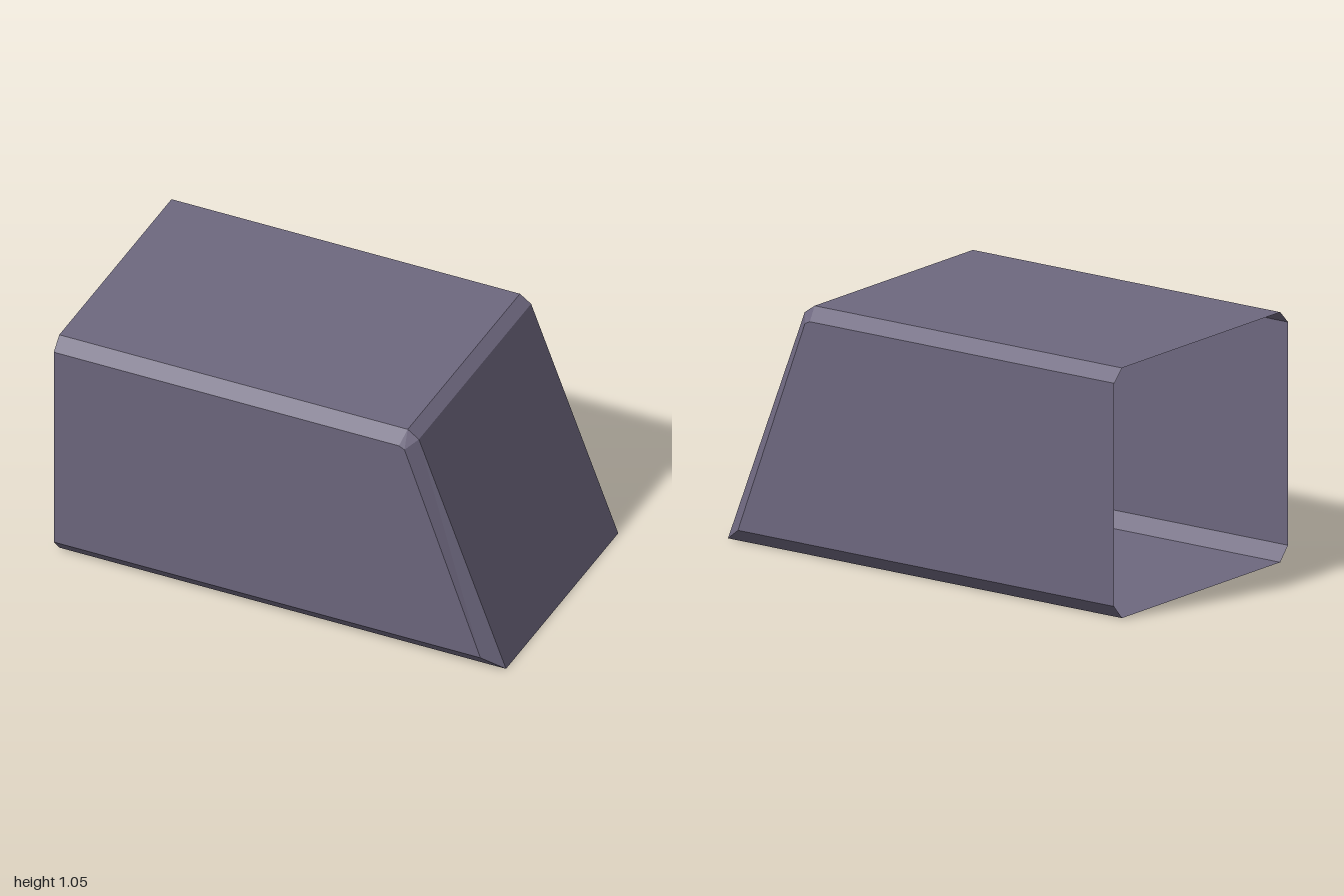
import * as THREE from 'three';

// Outlines in x, y: counter-clockwise, open at the -x end (last point to first)
const OUTER = [[-1, 0], [1, 0], [0.61, 1.015], [0.56, 1.05], [-1, 1.05]];
const INSET = [[-1, 0.06], [0.91, 0.06], [0.57, 0.985], [0.545, 0.997], [-1, 0.997]];
const OUTER_Z = 0.53, INSET_Z = 0.582;

const ring = (outline, z) => outline.map(([x, y]) => [x, y, z]);

// Flat-faced geometry from convex polygons
function polygons(list) {
  const pos = [];
  for (const p of list)
    for (let i = 1; i < p.length - 1; i++) pos.push(...p[0], ...p[i], ...p[i + 1]);
  const geo = new THREE.BufferGeometry();
  geo.setAttribute('position', new THREE.Float32BufferAttribute(pos, 3));
  geo.computeVertexNormals();
  return geo;
}

// Open strip of quads joining a nearer ring to a farther one
function strip(near, far) {
  const quads = [];
  for (let i = 0; i < near.length - 1; i++)
    quads.push([near[i], far[i], far[i + 1], near[i + 1]]);
  return polygons(quads);
}

export function createModel() {
  const group = new THREE.Group();
  const shell = new THREE.MeshStandardMaterial({ color: 0x6e687f, side: THREE.DoubleSide });
  shell.name = 'greyPurple';
  shell.flatShading = true;

  const add = (name, geo) => {
    const mesh = new THREE.Mesh(geo, shell);
    mesh.name = name;
    group.add(mesh);
  };

  const front = ring(OUTER, OUTER_Z), back = ring(OUTER, -OUTER_Z);
  const frontInset = ring(INSET, INSET_Z), backInset = ring(INSET, -INSET_Z);

  // Floor, sloped end, top bevel and roof
  add('shellWrap', strip(front, back));
  // Chamfers along both sides
  add('frontChamfer', strip(frontInset, front));
  add('backChamfer', strip(back, backInset));
  // Flat side walls
  add('frontWall', polygons([frontInset]));
  add('backWall', polygons([[...backInset].reverse()]));

  return group;
}
